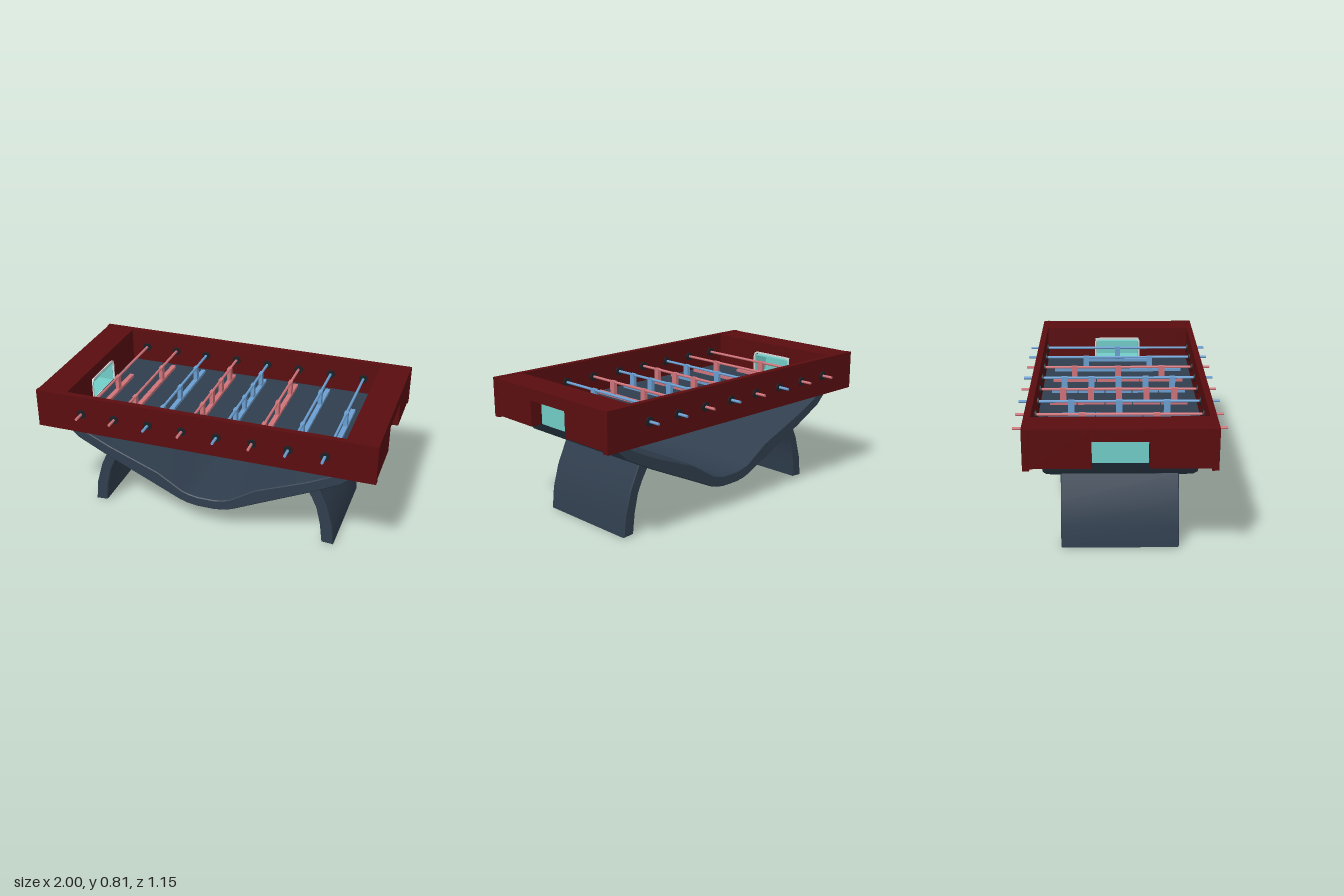
import * as THREE from 'three';
import { toCreasedNormals } from 'three/addons/utils/BufferGeometryUtils.js';

const mat = (name, color) => {
  const m = new THREE.MeshStandardMaterial({ color });
  m.name = name;
  return m;
};

export function createModel() {
  const table = new THREE.Group();
  table.name = 'footballTable';
  const wood = mat('dark red wood', 0x5a0d0f);
  const slate = mat('slate', 0x303e4e);
  const teal = mat('teal net', 0x72cdc8);
  const white = mat('goal frame white', 0xd9dcdc);
  const black = mat('bearing black', 0x1c2126);
  const red = mat('red team', 0xd0747a);
  const blue = mat('blue team', 0x6b9fd2);

  const add = (name, geo, material, x = 0, y = 0, z = 0, parent = table) => {
    const m = new THREE.Mesh(geo, material);
    m.name = name;
    m.position.set(x, y, z);
    parent.add(m);
    return m;
  };
  // Box given by its limits on each axis
  const box = (name, material, [x0, x1], [y0, y1], [z0, z1], parent) =>
    add(name, new THREE.BoxGeometry(x1 - x0, y1 - y0, z1 - z0), material,
      (x0 + x1) / 2, (y0 + y1) / 2, (z0 + z1) / 2, parent);
  // Outline in the xy plane, swept through z with slightly eased edges
  const sweep = (points, halfDepth) => {
    const b = 0.005;
    const geo = new THREE.ExtrudeGeometry(
      new THREE.Shape(points.map(([x, y]) => new THREE.Vector2(x, y))),
      { depth: 2 * (halfDepth - b), bevelEnabled: true, bevelSize: b, bevelThickness: b, bevelOffset: -b, bevelSegments: 1 });
    geo.translate(0, 0, -halfDepth + b);
    return toCreasedNormals(geo, 0.6);
  };
  const mirror = (pts) => pts.map(([x, y]) => [-x, y]).reverse();

  // Playing field and long side walls
  box('playingField', slate, [-0.82, 0.82], [0.591, 0.602], [-0.466, 0.466]);
  for (const s of [-1, 1]) {
    add('sideWall', new THREE.BoxGeometry(2, 0.23, 0.036), wood, 0, 0.693, s * 0.483);
  }

  // End blocks with a goal opening; the far end is turned half a revolution
  for (const s of [-1, 1]) {
    const end = new THREE.Group();
    end.name = s > 0 ? 'leftEnd' : 'rightEnd';
    end.rotation.y = s > 0 ? 0 : Math.PI;
    table.add(end);
    box('endBlock', wood, [0.82, 0.998], [0.59, 0.806], [0.15, 0.466], end);
    box('endBlock', wood, [0.82, 0.998], [0.59, 0.806], [-0.466, -0.15], end);
    box('goalLintel', wood, [0.82, 0.998], [0.738, 0.806], [-0.15, 0.15], end);

    // Net tray, open towards the field
    const nx = [0.822, 0.93];
    box('netBack', teal, [0.924, 0.93], [0.594, 0.715], [-0.144, 0.144], end);
    box('netFloor', teal, nx, [0.592, 0.598], [-0.144, 0.144], end);
    box('netRoof', teal, nx, [0.71, 0.716], [-0.144, 0.144], end);
    for (const t of [-1, 1]) box('netSide', teal, nx, [0.594, 0.715], [t * 0.143 - 0.003, t * 0.143 + 0.003], end);

    // Rounded goal frame
    const arch = (path, w, top, r) => {
      path.moveTo(-w, 0.6);
      path.lineTo(w, 0.6);
      path.lineTo(w, top - r);
      path.quadraticCurveTo(w, top, w - r, top);
      path.lineTo(-w + r, top);
      path.quadraticCurveTo(-w, top, -w, top - r);
      path.closePath();
      return path;
    };
    const shape = arch(new THREE.Shape(), 0.151, 0.739, 0.035);
    shape.holes.push(arch(new THREE.Path(), 0.142, 0.729, 0.028));
    const frame = new THREE.ExtrudeGeometry(shape, { depth: 0.012, bevelEnabled: false, curveSegments: 6 });
    frame.rotateY(Math.PI / 2);
    add('goalFrame', frame, white, 0.813, 0, 0, end);
  }

  // Swooping body under the field
  const under = [[0.16, 0.175], [0.33, 0.255], [0.62, 0.39], [0.8, 0.482], [0.895, 0.577]];
  const over = [[0.81, 0.577], [0.755, 0.53], [0.6, 0.455], [0.3, 0.335], [0.145, 0.237]];
  const low = [[0.055, 0.152], [0.11, 0.16]];
  const high = [[0.1, 0.223], [0.05, 0.214]];
  const half = [...low, ...under, ...over, ...high];
  add('curvedBody', sweep([...half, ...mirror(half)], 0.412), slate);

  // Curved slab legs
  const leg = [[0.685, 0.008], [0.755, 0.003], [0.742, 0.13], [0.703, 0.265], [0.64, 0.4],
    [0.57, 0.375], [0.613, 0.305], [0.645, 0.235], [0.67, 0.13]];
  add('leftLeg', sweep(leg, 0.325), slate);
  add('rightLeg', sweep(mirror(leg), 0.325), slate);

  // Rods with bearings and paddle players: [material, players, half width of the row]
  const rows = [
    [red, 1, 0.205], [red, 2, 0.41], [blue, 3, 0.41], [red, 5, 0.41],
    [blue, 5, 0.41], [red, 3, 0.41], [blue, 2, 0.41], [blue, 1, 0.205],
  ];
  const rodGeo = new THREE.CylinderGeometry(0.008, 0.008, 1.146, 12).rotateX(Math.PI / 2);
  const bearingGeo = new THREE.CylinderGeometry(0.026, 0.026, 0.052, 16).rotateX(Math.PI / 2);
  rows.forEach(([team, count, reach], i) => {
    const row = new THREE.Group();
    row.name = 'playerRod';
    row.position.x = (i - 3.5) * 0.205;
    table.add(row);
    add('rod', rodGeo, team, 0, 0.7, 0, row);
    for (const s of [-1, 1]) add('bearing', bearingGeo, black, 0, 0.7, s * 0.482, row);
    const pitch = 2 * reach / count;
    for (let k = 0; k < count; k++) {
      const z = (k + 0.5) * pitch - reach;
      add('playerPost', new THREE.BoxGeometry(0.022, 0.09, 0.036), team, 0, 0.663, z, row);
      add('playerFoot', new THREE.BoxGeometry(0.028, 0.018, pitch - 0.006), team, 0, 0.616, z, row);
    }
  });
  return table;
}
